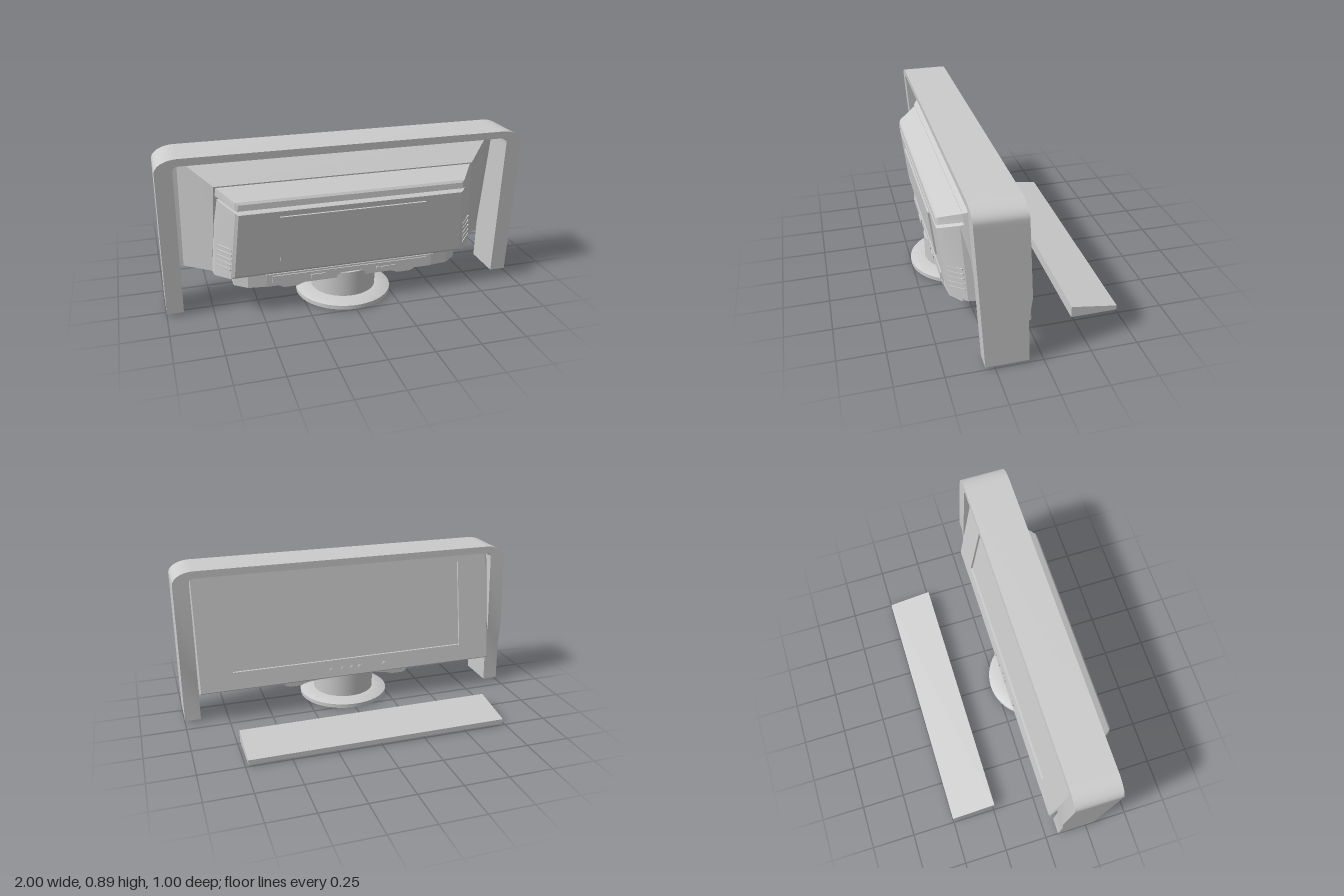
import * as THREE from 'three';
import { toCreasedNormals } from 'three/addons/utils/BufferGeometryUtils.js';

const mat = new THREE.MeshStandardMaterial({ color: 0xcccccc });

// Skin a closed solid over a list of equal-sized rings of [x, y, z] points.
function loft(rings, crease = 0.5) {
  const n = rings[0].length, pos = [];
  const tri = (a, b, c) => pos.push(...a, ...b, ...c);
  for (let i = 0; i + 1 < rings.length; i++) {
    for (let j = 0; j < n; j++) {
      const k = (j + 1) % n, A = rings[i], B = rings[i + 1];
      tri(A[j], A[k], B[k]);
      tri(A[j], B[k], B[j]);
    }
  }
  const last = rings[rings.length - 1];
  for (let j = 1; j + 1 < n; j++) {
    tri(rings[0][0], rings[0][j + 1], rings[0][j]);
    tri(last[0], last[j], last[j + 1]);
  }
  // turn the faces outward if the enclosed volume comes out negative
  let volume = 0;
  const a = new THREE.Vector3(), b = new THREE.Vector3(), c = new THREE.Vector3();
  for (let i = 0; i < pos.length; i += 9) {
    volume += a.fromArray(pos, i).dot(b.fromArray(pos, i + 3).cross(c.fromArray(pos, i + 6)));
  }
  if (volume < 0) {
    for (let i = 0; i < pos.length; i += 9) {
      for (let k = 3; k < 6; k++) [pos[i + k], pos[i + k + 3]] = [pos[i + k + 3], pos[i + k]];
    }
  }
  const g = new THREE.BufferGeometry();
  g.setAttribute('position', new THREE.Float32BufferAttribute(pos, 3));
  return toCreasedNormals(g, crease);
}

// Plane of the screen bezel, which leans back as it rises.
const lean = (y) => 0.007 + 0.16 * y;
const TILT = Math.atan(0.16);

// Four-cornered ring: half widths and depths at the bottom and the top.
const ring = (wb, wt, yb, yt, zb, zt) =>
  [[-wb, yb, zb], [wb, yb, zb], [wt, yt, zt], [-wt, yt, zt]];
const leaningRing = (w, yb, yt, d) => ring(w, w, yb, yt, lean(yb) + d, lean(yt) + d);

// Straight interpolation through [y, z] pairs.
function profile(points, y) {
  for (let i = 0; i + 1 < points.length; i++) {
    const [y0, z0] = points[i], [y1, z1] = points[i + 1];
    if (y <= y1) return z0 + (z1 - z0) * (y - y0) / (y1 - y0);
  }
  return points[points.length - 1][1];
}

export function createModel() {
  const model = new THREE.Group();
  const add = (name, geometry, x = 0, y = 0, z = 0, parent = model) => {
    const m = new THREE.Mesh(geometry, mat);
    m.name = name;
    m.position.set(x, y, z);
    parent.add(m);
    return m;
  };
  const box = (w, h, d) => new THREE.BoxGeometry(w, h, d);

  // Surrounding arch: four-point sections swept up one leg, over and down the other
  const rear = [[0.015, 0.075], [0.26, 0.084], [0.39, 0.068], [0.895, 0.096]];
  const front = [[0.015, 0.3], [0.895, 0.356]];
  const half = [0.015, 0.26, 0.39, 0.8].map((y) => [1, y, 0.91, y]);
  for (let i = 0; i <= 10; i++) {
    const t = (i / 10) * Math.PI / 2, c = Math.cos(t), s = Math.sin(t);
    half.push([0.88 + 0.12 * c, 0.825 + 0.07 * s, 0.885 + 0.025 * c, 0.83 + 0.025 * s]);
  }
  const stations = [...half, ...half.slice().reverse().map(([a, b, c, d]) => [-a, b, -c, d])];
  add('arch', loft(stations.map(([ox, oy, ix, iy]) => [
    [ox, oy, profile(rear, oy)], [ox, oy, profile(front, oy)],
    [ix, iy, profile(front, iy)], [ix, iy, profile(rear, iy)],
  ])));

  // Display: sunken screen, bezel and tapering rear shell in one skin
  add('displayShell', loft([
    leaningRing(0.71, 0.29, 0.805, 0.012),
    leaningRing(0.71, 0.29, 0.805, 0),
    leaningRing(0.9, 0.19, 0.848, 0),
    leaningRing(0.908, 0.183, 0.855, 0.008),
    leaningRing(0.908, 0.183, 0.855, 0.04),
    leaningRing(0.88, 0.187, 0.848, 0.05),
    ring(0.74, 0.715, 0.225, 0.725, 0.27, 0.335),
  ], 0.3));

  // Overhanging hood of the rear housing
  add('housingHood', loft([
    ring(0.73, 0.73, 0.685, 0.735, 0.3, 0.3),
    ring(0.63, 0.625, 0.63, 0.668, 0.442, 0.439),
    ring(0.615, 0.61, 0.624, 0.656, 0.45, 0.448),
  ], 0.3));

  // Rear housing with a softened rim, below the hood
  add('rearHousing', loft([
    ring(0.745, 0.715, 0.222, 0.668, 0.24, 0.3),
    ring(0.735, 0.69, 0.224, 0.645, 0.32, 0.345),
    ring(0.66, 0.625, 0.226, 0.608, 0.395, 0.436),
    ring(0.64, 0.61, 0.24, 0.6, 0.405, 0.447),
  ], 0.3));
  const cover = add('rearCover', box(0.8, 0.262, 0.012), 0, 0.44, 0.432);
  cover.rotation.x = Math.atan(0.117);

  // Side vents on both flanks of the housing
  for (const side of [-1, 1]) {
    const vents = new THREE.Group();
    vents.name = side > 0 ? 'leftVents' : 'rightVents';
    for (let i = 0; i < 5; i++) {
      const y = 0.285 + i * 0.029;
      const slot = add('ventSlot', box(0.095, 0.009, 0.01),
        side * (0.691 - (y - 0.285) * 0.1), y, 0.363 + (y - 0.285) * 0.1, vents);
      slot.rotation.order = 'YXZ';
      slot.rotation.y = side * 0.8;
      slot.rotation.z = side * 0.12;
    }
    model.add(vents);
  }

  // Connector tray under the housing
  add('connectorTray', box(0.94, 0.07, 0.3), 0, 0.19, 0.25);
  add('connectorPanel', box(0.88, 0.04, 0.012), 0, 0.195, 0.4);
  for (const [x, w, h] of [[-0.19, 0.08, 0.024], [0.15, 0.018, 0.016], [0.195, 0.05, 0.01], [0.24, 0.018, 0.016]]) {
    add('port', box(w, h, 0.008), x, 0.188, 0.408);
  }

  // Tray ends and the mounting wings beside the neck
  const wing = new THREE.Shape();
  wing.moveTo(0.1, 0.16);
  wing.lineTo(0.41, 0.16);
  wing.quadraticCurveTo(0.4, 0.115, 0.36, 0.11);
  wing.lineTo(0.29, 0.11);
  wing.quadraticCurveTo(0.25, 0.135, 0.1, 0.135);
  const wingGeo = new THREE.ExtrudeGeometry(wing, { depth: 0.2, bevelEnabled: false });
  for (const side of [-1, 1]) {
    add('trayEnd', loft([
      [[0.46, 0.155, 0.1], [0.46, 0.225, 0.1], [0.46, 0.225, 0.398], [0.46, 0.155, 0.398]],
      [[0.57, 0.155, 0.1], [0.57, 0.225, 0.1], [0.57, 0.225, 0.385], [0.57, 0.155, 0.385]],
      [[0.64, 0.155, 0.1], [0.64, 0.225, 0.1], [0.64, 0.225, 0.33], [0.64, 0.155, 0.33]],
    ].map((r) => r.map(([x, y, z]) => [side * x, y, z]))));
    const w = add('mountWing', wingGeo, 0, 0, side > 0 ? 0.145 : 0.345);
    if (side < 0) w.rotation.y = Math.PI;
  }

  // Control buttons along the lower bezel
  for (const [x, r] of [[-0.21, 0.015], [-0.05, 0.012], [0, 0.012], [0.057, 0.012], [0.128, 0.012]]) {
    const b = add(r > 0.013 ? 'powerButton' : 'button',
      new THREE.CylinderGeometry(r, r, 0.014, 20), x, 0.232, lean(0.232) - 0.003);
    b.rotation.x = Math.PI / 2 + TILT;
  }

  // Round stand: foot disc and neck
  const foot = [[0, 0], [0.262, 0], [0.268, 0.004], [0.268, 0.027], [0.262, 0.03], [0.19, 0.041], [0, 0.041]];
  add('standFoot', toCreasedNormals(new THREE.LatheGeometry(
    foot.map(([r, y]) => new THREE.Vector2(r, y)), 64), 0.4), 0, 0, 0.234);
  add('standNeck', new THREE.CylinderGeometry(0.185, 0.182, 0.15, 64), 0, 0.112, 0.234);

  // Wedge keyboard in front of the screen
  add('keyboard', loft([-0.735, 0.735].map((x) =>
    [[x, 0.01, -0.24], [x, 0.077, -0.24], [x, 0.037, -0.5], [x, 0.01, -0.5]])));

  return model;
}
